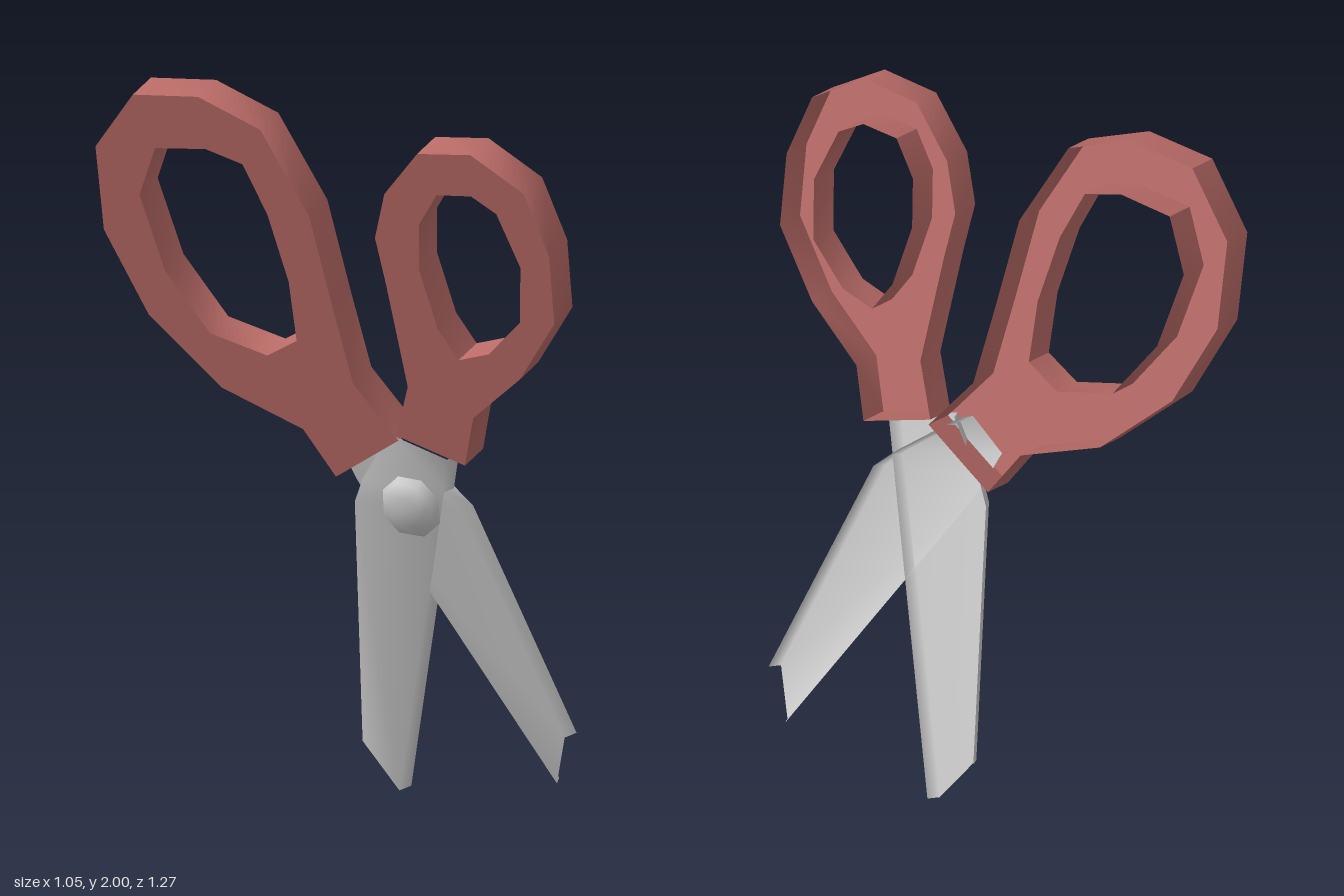
import * as THREE from 'three';
import { toCreasedNormals } from 'three/addons/utils/BufferGeometryUtils.js';

// The scissors lie in a tilted plane x = c - A*y + B*z; (u, v) stands for (-z, y).
const A = 0.36, B = 0.54;
const NORMAL = new THREE.Vector3(1, A, -B).normalize();
const DEPTH = 0.107;
const onPlane = (u, v, c) => new THREE.Vector3(c - A * v - B * u, v, -u);

const toVectors = (pts) => pts.map(([u, v]) => new THREE.Vector2(u, v));

// Geometry from rows of points; neighbouring rows are joined by quads
function loft(rows) {
  const index = [], n = rows[0].length;
  for (let i = 1; i < rows.length; i++) {
    for (let j = 0; j < n - 1; j++) {
      const a = (i - 1) * n + j, b = i * n + j;
      index.push(a, a + 1, b + 1, a, b + 1, b);
    }
  }
  const geo = new THREE.BufferGeometry().setFromPoints(rows.flat());
  geo.setIndex(index);
  geo.computeVertexNormals();
  return geo;
}

// Hollow tray-shaped handle: a flat floor with an outer wall and a wall round the finger hole
function makeHandle(name, outline, hole, material) {
  const handle = new THREE.Group();
  handle.name = name;
  const add = (part, geo) => {
    const mesh = new THREE.Mesh(geo, material);
    mesh.name = name + part;
    handle.add(mesh);
  };

  const shape = new THREE.Shape(toVectors(outline));
  shape.holes.push(new THREE.Path(toVectors(hole)));
  const basis = new THREE.Matrix4().makeBasis(
    new THREE.Vector3(-B, 0, -1), new THREE.Vector3(-A, 1, 0), NORMAL);
  basis.setPosition(onPlane(0, 0, 0.54).addScaledVector(NORMAL, -DEPTH));
  add('Floor', new THREE.ShapeGeometry(shape).applyMatrix4(basis));

  [['OuterWall', outline], ['HoleWall', hole]].forEach(([part, loop]) => {
    const rows = [...loop, loop[0]].map(([u, v]) => {
      const top = onPlane(u, v, 0.54);
      return [top, top.clone().addScaledVector(NORMAL, -DEPTH)];
    });
    add(part, toCreasedNormals(loft(rows), 0.8));
  });
  return handle;
}

// Channel-shaped blade lofted through rows of [left edge, right edge]
function makeBlade(name, rows, c, material) {
  const sections = rows.map(([[lu, lv], [ru, rv]]) => [
    onPlane(lu, lv, c + 0.042), onPlane(lu, lv - 0.01, c),
    onPlane(ru - 0.026, rv - 0.01, c), onPlane(ru, rv, c + 0.042),
  ]);
  const mesh = new THREE.Mesh(loft(sections), material);
  mesh.name = name;
  return mesh;
}

export function createModel() {
  const group = new THREE.Group();
  group.name = 'scissors';
  const plastic = new THREE.MeshStandardMaterial({ color: 0xb86a66, side: THREE.DoubleSide });
  const steel = new THREE.MeshStandardMaterial({ color: 0xcccccc, side: THREE.DoubleSide });

  // Handles
  group.add(makeHandle('largeHandle',
    [[0.255, 1.995], [0.11, 1.915], [0.05, 1.675], [0.065, 1.42], [0.075, 1.2], [0, 1.045],
      [0.205, 0.925], [0.255, 1.055], [0.445, 1.155], [0.585, 1.35], [0.635, 1.585],
      [0.585, 1.825], [0.435, 1.985]],
    [[0.19, 1.81], [0.28, 1.845], [0.42, 1.835], [0.505, 1.695], [0.5, 1.48], [0.43, 1.31],
      [0.29, 1.26], [0.195, 1.31], [0.165, 1.48], [0.165, 1.67]],
    plastic));
  group.add(makeHandle('smallHandle',
    [[-0.455, 1.895], [-0.57, 1.795], [-0.585, 1.62], [-0.54, 1.425], [-0.395, 1.255],
      [-0.23, 1.13], [-0.165, 0.99], [0, 1.06], [-0.075, 1.205], [-0.105, 1.5],
      [-0.115, 1.63], [-0.18, 1.76], [-0.307, 1.885]],
    [[-0.475, 1.73], [-0.42, 1.775], [-0.325, 1.77], [-0.25, 1.68], [-0.21, 1.55],
      [-0.21, 1.38], [-0.24, 1.295], [-0.33, 1.32], [-0.445, 1.42], [-0.495, 1.58]],
    plastic));

  // Blades, each listed from tip to handle
  group.add(makeBlade('bladeOfLargeHandle', [
    [[-0.243, 0.2], [-0.155, 0.065]],
    [[-0.155, 0.835], [0.115, 0.83]],
    [[-0.11, 0.9], [0.135, 0.9]],
    [[0.02, 1.05], [0.15, 0.98]],
  ], 0.422, steel));
  group.add(makeBlade('bladeOfSmallHandle', [
    [[0.26, 0.005], [0.345, 0.14]],
    [[-0.1, 0.83], [0.155, 0.835]],
    [[-0.13, 0.9], [0.115, 0.9]],
    [[-0.165, 0.98], [0, 1.04]],
  ], 0.416, steel));

  // Domed pivot screw on the outer side of the small handle's blade
  const screw = new THREE.Mesh(
    new THREE.SphereGeometry(0.092, 8, 3, 0, Math.PI * 2, 0, Math.PI / 2), steel);
  screw.name = 'pivotScrew';
  screw.scale.y = 0.5;
  screw.quaternion.setFromUnitVectors(new THREE.Vector3(0, 1, 0), NORMAL.clone().negate());
  screw.position.copy(onPlane(-0.025, 0.825, 0.416));
  group.add(screw);

  return group;
}
